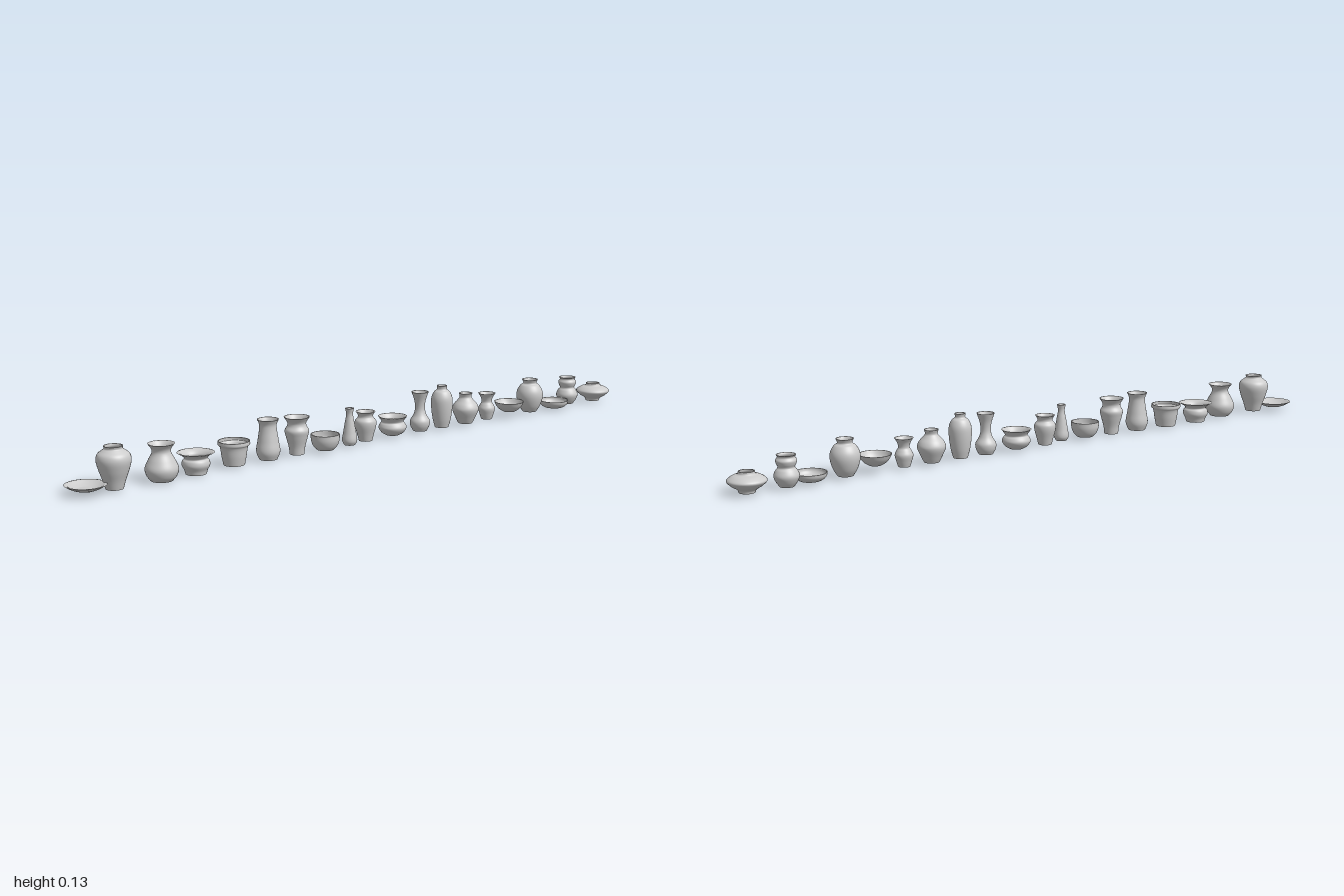
import * as THREE from 'three';

const material = new THREE.MeshStandardMaterial({ color: 0xcccccc });
const WALL = 0.003;
const SEGMENTS = 40;

function lathe(name, points) {
  const mesh = new THREE.Mesh(new THREE.LatheGeometry(points, SEGMENTS), material);
  mesh.name = name;
  return mesh;
}

// A hollow turned vessel; profile is a list of [radius, height] from foot to rim.
function vessel(name, x, z, profile) {
  const curve = new THREE.CatmullRomCurve3(
    profile.map(([r, y]) => new THREE.Vector3(r, y, 0)), false, 'centripetal');
  const steps = (profile.length - 1) * 5;
  const floor = profile[0][1] + WALL;
  const outer = [], inner = [];
  for (let i = 0; i <= steps; i++) {
    const p = curve.getPoint(i / steps);
    const t = curve.getTangent(i / steps);
    outer.push(new THREE.Vector2(p.x, p.y));
    inner.push(new THREE.Vector2(
      Math.max(p.x - t.y * WALL, 0.002),
      Math.max(p.y + t.x * WALL, floor)));
  }
  inner.reverse();
  inner[0].y = outer[steps].y;
  inner.push(new THREE.Vector2(0, floor));

  const group = new THREE.Group();
  group.name = name;
  group.position.set(x, 0, z);
  group.add(
    lathe('foot', [new THREE.Vector2(0, outer[0].y), outer[0]]),
    lathe('outerWall', outer),
    lathe('rim', [outer[steps], inner[0]]),
    lathe('innerWall', inner));
  return group;
}

export function createModel() {
  const model = new THREE.Group();
  model.name = 'potteryRow';
  const add = (...args) => model.add(vessel(...args));

  // Front part of the row
  add('shallowDish', 0.008, 0.943, [[0.024, 0.012], [0.04, 0.018], [0.057, 0.028]]);
  add('shoulderedJar', 0.018, 0.864, [[0.024, 0.006], [0.031, 0.03], [0.041, 0.058],
    [0.047, 0.085], [0.043, 0.1], [0.031, 0.11], [0.025, 0.115], [0.026, 0.122]]);
  add('flaredVase', 0.02, 0.722, [[0.03, 0.006], [0.041, 0.02], [0.046, 0.039],
    [0.037, 0.062], [0.026, 0.084], [0.027, 0.094], [0.037, 0.108]]);
  add('wideLippedPot', 0.004, 0.606, [[0.029, 0.003], [0.032, 0.014], [0.039, 0.029],
    [0.037, 0.041], [0.032, 0.047], [0.038, 0.055], [0.052, 0.063]]);
  add('bucketPot', -0.005, 0.477, [[0.03, 0.007], [0.035, 0.032], [0.04, 0.06],
    [0.045, 0.065], [0.045, 0.075]]);
  add('taperedVase', 0, 0.366, [[0.026, 0.007], [0.034, 0.029], [0.03, 0.06],
    [0.025, 0.094], [0.025, 0.108], [0.031, 0.122]]);
  add('collaredVase', 0.001, 0.268, [[0.021, 0.007], [0.024, 0.03], [0.032, 0.06],
    [0.035, 0.077], [0.028, 0.09], [0.027, 0.099], [0.037, 0.116]]);

  // Middle of the row
  add('roundBowl', 0.009, 0.174, [[0.024, 0.008], [0.034, 0.018], [0.041, 0.035], [0.042, 0.054]]);
  add('slimBottle', 0.005, 0.083, [[0.016, 0.008], [0.022, 0.02], [0.019, 0.045],
    [0.014, 0.075], [0.01, 0.1], [0.013, 0.117]]);
  add('smallJar', -0.01, 0.013, [[0.02, 0.008], [0.025, 0.028], [0.032, 0.056],
    [0.031, 0.069], [0.023, 0.079], [0.023, 0.086], [0.029, 0.096]]);
  add('squatPot', -0.014, -0.092, [[0.02, 0.01], [0.033, 0.018], [0.042, 0.033],
    [0.038, 0.044], [0.033, 0.05], [0.036, 0.057], [0.044, 0.067]]);
  add('longNeckVase', -0.014, -0.198, [[0.021, 0.008], [0.029, 0.024], [0.03, 0.039],
    [0.02, 0.057], [0.015, 0.075], [0.017, 0.1], [0.026, 0.128]]);
  add('tallOvalBottle', -0.012, -0.283, [[0.021, 0.008], [0.028, 0.035], [0.033, 0.075],
    [0.032, 0.1], [0.024, 0.118], [0.015, 0.126], [0.016, 0.137]]);
  add('roundBottle', -0.011, -0.378, [[0.022, 0.008], [0.03, 0.024], [0.041, 0.052],
    [0.036, 0.067], [0.024, 0.081], [0.018, 0.09], [0.021, 0.102]]);

  // Back part of the row
  add('goblet', -0.014, -0.469, [[0.017, 0.008], [0.022, 0.024], [0.026, 0.042],
    [0.021, 0.054], [0.016, 0.063], [0.019, 0.077], [0.027, 0.09]]);
  add('flaredBowl', -0.004, -0.555, [[0.018, 0.022], [0.031, 0.03], [0.04, 0.04], [0.047, 0.054]]);
  add('globeJar', -0.014, -0.653, [[0.022, 0.008], [0.034, 0.028], [0.042, 0.057],
    [0.04, 0.076], [0.03, 0.093], [0.021, 0.1], [0.025, 0.112]]);
  add('lowBowl', -0.01, -0.757, [[0.029, 0.009], [0.039, 0.015], [0.045, 0.023], [0.047, 0.032]]);
  add('doubleGourdJar', -0.03, -0.836, [[0.02, 0.008], [0.03, 0.023], [0.035, 0.038],
    [0.029, 0.053], [0.023, 0.061], [0.027, 0.071], [0.029, 0.08], [0.024, 0.089], [0.027, 0.095]]);
  add('flatShoulderedPot', -0.021, -0.946, [[0.022, 0.006], [0.025, 0.014], [0.043, 0.026],
    [0.054, 0.039], [0.04, 0.051], [0.024, 0.057], [0.022, 0.064]]);

  return model;
}
